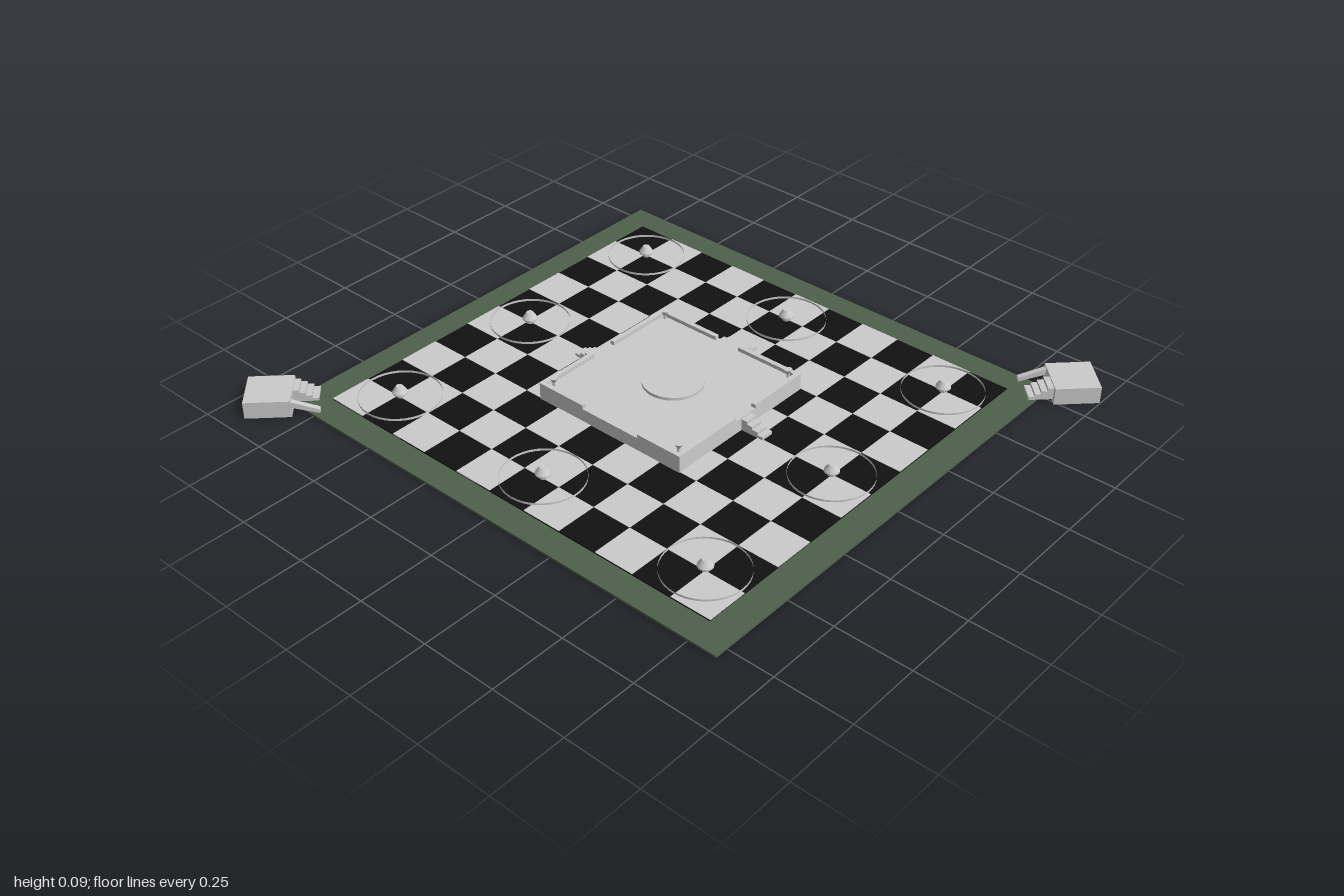
import * as THREE from 'three';

const grey = new THREE.MeshStandardMaterial({ color: 0xcccccc });
const thin = new THREE.MeshStandardMaterial({ color: 0xcccccc, side: THREE.DoubleSide });
const black = new THREE.MeshStandardMaterial({ color: 0x111111 });
const green = new THREE.MeshStandardMaterial({ color: 0x4e604c });

function add(parent, name, geometry, material = grey) {
  const mesh = new THREE.Mesh(geometry, material);
  mesh.name = name;
  parent.add(mesh);
  return mesh;
}

// Box given by its extents
function block(parent, name, x0, x1, y0, y1, z0, z1, material = grey) {
  const mesh = add(parent, name, new THREE.BoxGeometry(x1 - x0, y1 - y0, z1 - z0), material);
  mesh.position.set((x0 + x1) / 2, (y0 + y1) / 2, (z0 + z1) / 2);
  return mesh;
}

// Solid stairs descending along local +z from the origin
function stairs(parent, name, x, z, turn, width, run, top, count) {
  const g = new THREE.Group();
  g.name = name;
  const depth = run / count, bottom = 0.012;
  for (let i = 0; i < count; i++) {
    const y = bottom + (top - bottom) * (count - i) / (count + 0.5);
    block(g, 'step', -width / 2, width / 2, bottom, y, i * depth, (i + 1) * depth);
  }
  g.position.set(x, 0, z);
  g.rotation.y = turn;
  parent.add(g);
}

function makeBoard() {
  const board = new THREE.Group();
  board.name = 'board';
  const x0 = -0.766, x1 = 0.75, z0 = -0.705, z1 = 0.705;

  // Lawn frame around the floor
  const lawn = new THREE.Shape([[-0.857, -0.795], [0.847, -0.795], [0.847, 0.795], [-0.857, 0.795]]
    .map(p => new THREE.Vector2(...p)));
  lawn.holes.push(new THREE.Path([[x0, z0], [x0, z1], [x1, z1], [x1, z0]]
    .map(p => new THREE.Vector2(...p))));
  const frame = new THREE.ExtrudeGeometry(lawn, { depth: 0.007, bevelEnabled: false });
  add(board, 'lawnBorder', frame.rotateX(-Math.PI / 2), green);

  // Black slab with light tiles
  block(board, 'floorSlab', x0, x1, 0, 0.011, z0, z1, black);
  const w = (x1 - x0) / 11, d = (z1 - z0) / 10;
  for (let i = 0; i < 11; i++) {
    for (let j = 0; j < 10; j++) {
      if ((i + j) % 2 === 0) continue;
      block(board, 'lightTile', x0 + i * w, x0 + (i + 1) * w, 0.009, 0.0125, z0 + j * d, z0 + (j + 1) * d);
    }
  }
  return board;
}

function makePlatform() {
  const p = new THREE.Group();
  p.name = 'platform';
  const x0 = -0.29, x1 = 0.275, z0 = -0.28, z1 = 0.285, floor = 0.056, top = 0.069, t = 0.016;
  block(p, 'platformBase', x0, x1, 0.011, floor, z0, z1);

  // Low parapet, open in the middle of each side
  const wall = (...e) => block(p, 'parapet', e[0], e[1], floor, top, e[2], e[3]);
  for (const [a, b, gap] of [[z0, z0 + t, [-0.055, 0.037]], [z1 - t, z1, [-0.11, 0.11]]]) {
    wall(x0, gap[0], a, b);
    wall(gap[1], x1, a, b);
  }
  for (const [a, b, gap] of [[x0, x0 + t, [-0.03, 0.06]], [x1 - t, x1, [-0.06, 0.03]]]) {
    wall(a, b, z0 + t, gap[0]);
    wall(a, b, gap[1], z1 - t);
  }

  // Round dais and flared corner bowls
  add(p, 'dais', new THREE.CylinderGeometry(0.097, 0.097, 0.01, 48)).position.set(0, floor + 0.005, 0);
  for (const x of [-0.26, 0.245]) {
    for (const z of [-0.255, 0.253]) {
      const bowl = add(p, 'cornerBowl', new THREE.CylinderGeometry(0.013, 0.004, 0.018, 16));
      bowl.position.set(x, 0.076, z);
      add(p, 'bowlStem', new THREE.CylinderGeometry(0.005, 0.005, 0.014, 12)).position.set(x, 0.062, z);
    }
  }

  // Stairs on three sides
  stairs(p, 'backStairs', -0.01, z0, Math.PI, 0.09, 0.08, floor, 3);
  stairs(p, 'rightStairs', x0, 0.022, -Math.PI / 2, 0.045, 0.082, floor, 4);
  stairs(p, 'leftStairs', x1, -0.018, Math.PI / 2, 0.045, 0.082, floor, 4);
  return p;
}

// Small tapered post inside a low round kerb
function makePost(x, z) {
  const post = new THREE.Group();
  post.name = 'post';
  const profile = [[0, 0.011], [0.012, 0.011], [0.014, 0.02], [0.024, 0.025], [0.024, 0.03], [0.011, 0.05], [0, 0.05]]
    .map(q => new THREE.Vector2(...q));
  const body = new THREE.LatheGeometry(profile, 16).toNonIndexed();
  body.computeVertexNormals();
  add(post, 'postBody', body);
  const kerb = new THREE.CylinderGeometry(0.13, 0.13, 0.008, 40, 1, true);
  add(post, 'roundKerb', kerb, thin).position.y = 0.015;
  post.position.set(x, 0, z);
  return post;
}

// Corner block with stairs and a side ramp, facing local +z
function makeCorner(name, x, z, turn) {
  const g = new THREE.Group();
  g.name = name;
  const h = 0.0715;
  block(g, 'cornerBlock', -h, h, 0, 0.057, -h, h);
  stairs(g, 'cornerStairs', 0.026, h, 0, 0.065, 0.076, 0.057, 4);
  const side = new THREE.Shape([[0, 0.03], [0, 0.05], [0.085, 0.02], [0.085, 0.007]]
    .map(q => new THREE.Vector2(...q)));
  const ramp = new THREE.ExtrudeGeometry(side, { depth: 0.018, bevelEnabled: false });
  add(g, 'sideRamp', ramp.rotateY(-Math.PI / 2)).position.set(-0.048, 0, h);
  g.position.set(x, 0, z);
  g.rotation.y = turn;
  return g;
}

export function createModel() {
  const model = new THREE.Group();
  model.name = 'courtyardBoard';
  model.add(makeBoard(), makePlatform());
  for (const x of [-0.62, -0.005, 0.61]) {
    for (const z of [-0.563, 0, 0.56]) {
      if (x === -0.005 && z === 0) continue;
      model.add(makePost(x, z));
    }
  }
  model.add(makeCorner('backLeftCorner', 0.897, -0.84, -Math.PI / 4));
  model.add(makeCorner('frontRightCorner', -0.897, 0.84, Math.PI * 3 / 4));
  return model;
}
